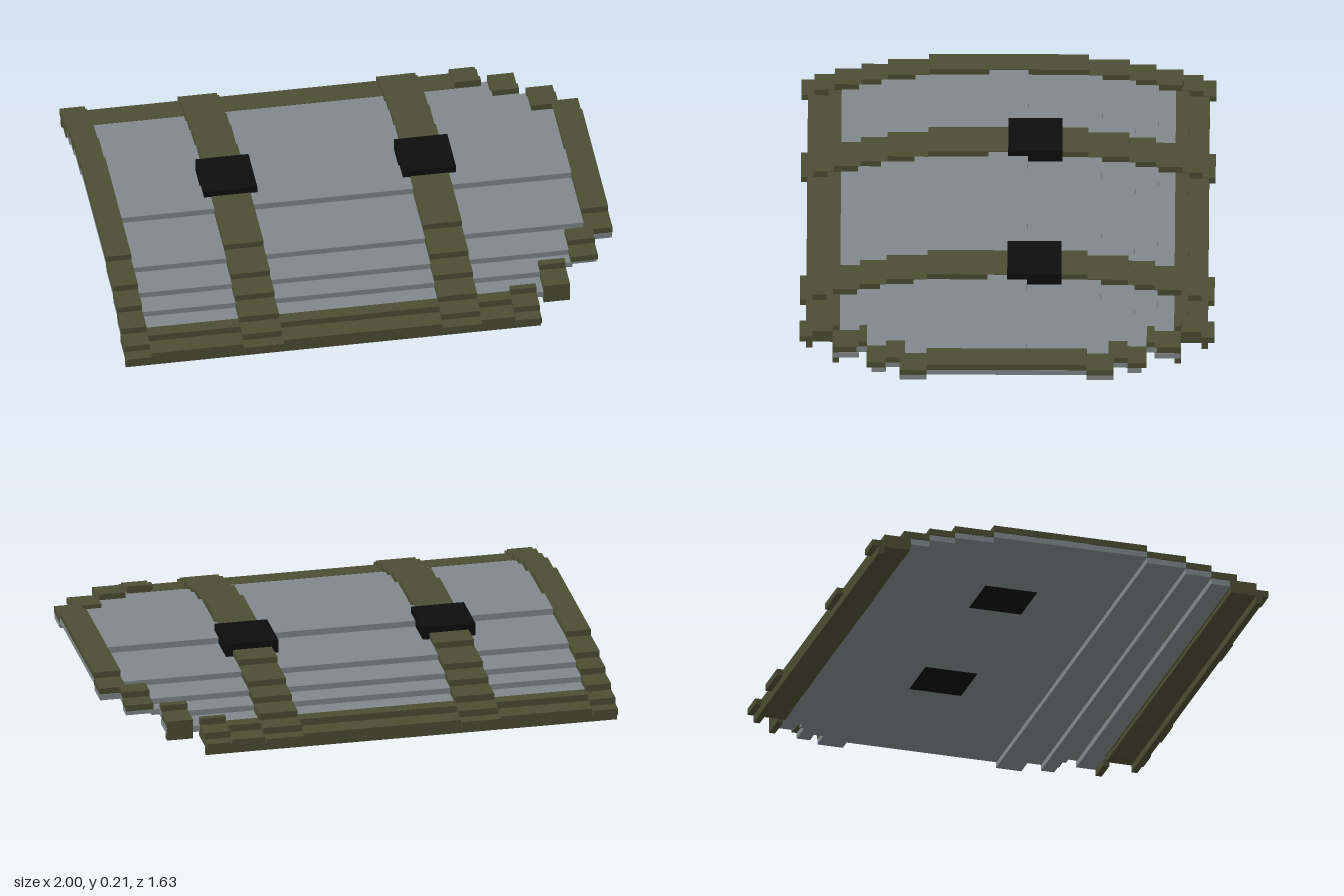
import * as THREE from 'three';

const trimMat = new THREE.MeshStandardMaterial({ color: 0x4b4d33 });
trimMat.name = 'olive trim';
const panelMat = new THREE.MeshStandardMaterial({ color: 0x80878a });
panelMat.name = 'grey panel';
const blackMat = new THREE.MeshStandardMaterial({ color: 0x0d0d0d });
blackMat.name = 'black';

// Box given by its limits on each axis
function box(group, name, mat, x0, x1, y0, y1, z0, z1) {
  const mesh = new THREE.Mesh(new THREE.BoxGeometry(x1 - x0, y1 - y0, z1 - z0), mat);
  mesh.position.set((x0 + x1) / 2, (y0 + y1) / 2, (z0 + z1) / 2);
  mesh.name = name;
  group.add(mesh);
}

// The same box on both long sides
function pair(group, name, mat, x0, x1, y0, y1, z0, z1) {
  box(group, name + 'Front', mat, x0, x1, y0, y1, z0, z1);
  box(group, name + 'Back', mat, x0, x1, y0, y1, -z1, -z0);
}

// Trim steps from the ridge outwards: bottom, top, inner z, outer z
const steps = [
  [0.16, 0.185, 0, 0.315],
  [0.135, 0.16, 0.315, 0.475],
  [0.11, 0.135, 0.475, 0.58],
  [0.083, 0.11, 0.58, 0.685],
  [0.056, 0.083, 0.66, 0.765],
  [0.03, 0.056, 0.66, 0.815],
];

// Stepped band across the curve, limited to zMin < |z| < zMax
function band(name, x0, x1, zMin = 0, zMax = 1) {
  const group = new THREE.Group();
  group.name = name;
  for (const [y0, y1, a, b] of steps) {
    const z0 = Math.max(a, zMin), z1 = Math.min(b, zMax);
    if (z1 - z0 < 0.002) continue;
    if (z0 === 0) box(group, 'bandTop', trimMat, x0, x1, y0, y1, -z1, z1);
    else pair(group, 'bandStep', trimMat, x0, x1, y0, y1, z0, z1);
  }
  return group;
}

export function createModel() {
  const model = new THREE.Group();
  model.name = 'curvedShield';

  // Grey boards stepping down from the ridge
  const panels = new THREE.Group();
  panels.name = 'panels';
  const left = -0.998;
  box(panels, 'ridgeBoard', panelMat, left, 0.998, 0.157, 0.183, -0.077, 0.077);
  box(panels, 'topBoard', panelMat, left, 0.998, 0.135, 0.158, -0.368, 0.368);
  const boards = [
    [0.998, 0.11, 0.133, 0.315, 0.42],
    [0.918, 0.11, 0.133, 0.42, 0.5],
    [0.918, 0.085, 0.108, 0.475, 0.53],
    [0.82, 0.085, 0.108, 0.53, 0.548],
    [0.788, 0.085, 0.108, 0.548, 0.59],
    [0.788, 0.056, 0.081, 0.58, 0.682],
  ];
  for (const [x1, y0, y1, z0, z1] of boards) {
    pair(panels, 'sideBoard', panelMat, left, x1, y0, y1, z0, z1);
  }
  model.add(panels);

  // Straps and stepped end trims
  model.add(
    band('leftEndTrim', -1, -0.9),
    band('leftStrap', -0.53, -0.373),
    band('rightStrap', 0.262, 0.417),
    band('rightEndTrim', 0.893, 1, 0, 0.42),
    band('cornerTrimUpper', 0.812, 0.92, 0.4, 0.55),
    band('cornerTrimMiddle', 0.682, 0.787, 0.55, 0.685),
    band('cornerTrimLower', 0.55, 0.653, 0.66),
  );

  // Long side rims with a hanging lip
  const rims = new THREE.Group();
  rims.name = 'sideRims';
  pair(rims, 'rimUpper', trimMat, -0.999, 0.652, 0.05, 0.082, 0.657, 0.71);
  pair(rims, 'rimLower', trimMat, -0.999, 0.652, 0.031, 0.055, 0.661, 0.79);
  pair(rims, 'rimLip', trimMat, -1, 0.653, 0, 0.031, 0.765, 0.79);
  model.add(rims);

  // Black blocks passing through the top
  for (const x of [-0.452, 0.34]) {
    box(model, 'blackBlock', blackMat, x - 0.106, x + 0.106, 0.133, 0.21, -0.213, 0);
  }
  return model;
}
